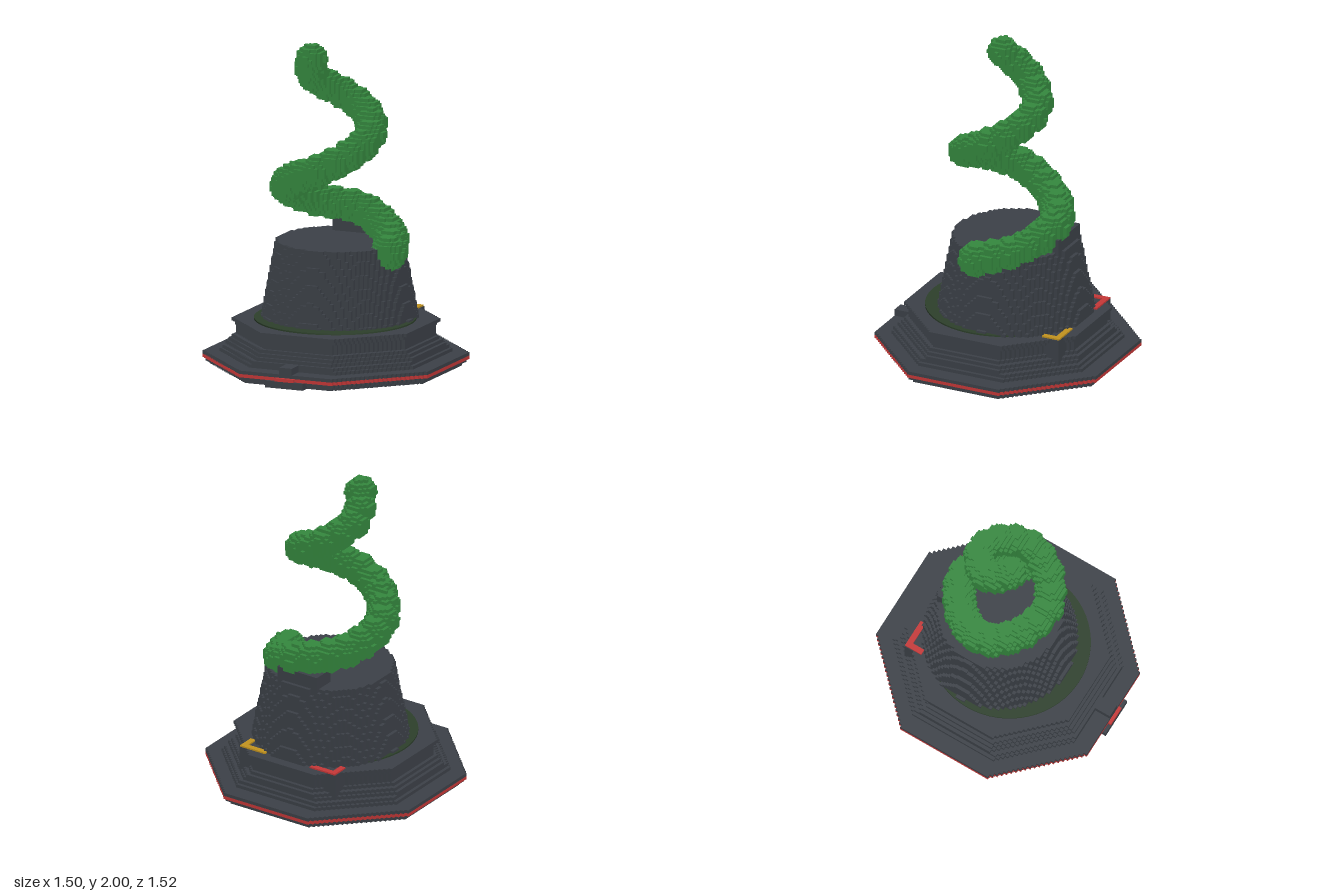
import * as THREE from 'three';

const V = 2 / 96; // voxel edge
const HALF = 38, SIZE = HALF * 2, HEIGHT = 97;

const mat = (name, color) => {
  const m = new THREE.MeshStandardMaterial({ color });
  m.name = name;
  return m;
};

// Shape rules, tested at voxel centres
const box = (x0, x1, y0, y1, z0, z1) => (x, y, z) =>
  x > x0 && x < x1 && y > y0 && y < y1 && z > z0 && z < z1;
const octagon = (x, z, a) => {
  const ax = Math.abs(x), az = Math.abs(z + 0.02);
  return ax < a && az < a && ax + az < a * Math.SQRT2;
};

// Apothem of the octagonal base, one value per voxel layer
const baseProfile = [0.705, 0.728, 0.743, 0.743, 0.655, 0.635, 0.615, 0.595,
  0.575, 0.556, 0.556, 0.556, 0.572, 0.588];

// Beads along a narrowing helix
function vineBeads() {
  const path = new THREE.CatmullRomCurve3([
    [0.37, 0.735, 0.01], [0.27, 0.79, -0.22], [0.03, 0.905, -0.355], [-0.21, 0.97, -0.22],
    [-0.305, 1.075, 0.0], [-0.19, 1.18, 0.19], [0.02, 1.27, 0.255], [0.18, 1.36, 0.15],
    [0.235, 1.45, 0.0], [0.16, 1.54, -0.15], [0.0, 1.63, -0.215], [-0.13, 1.72, -0.13],
    [-0.172, 1.8, -0.03], [-0.12, 1.908, 0.07],
  ].map(p => new THREE.Vector3(...p)));
  const count = 27;
  return path.getSpacedPoints(count).map((p, i) => ({ p, r: 0.103 - 0.012 * i / count }));
}

export function createModel() {
  const group = new THREE.Group();
  const charcoal = mat('charcoal', 0x3c4148);
  const green = mat('leaf green', 0x35893f);
  const moss = mat('moss green', 0x2d402b);
  const red = mat('red', 0xc73838);
  const amber = mat('amber', 0xc4941f);

  const beads = vineBeads();
  const tongue = box(-0.042, 0.042, 0, 0.125, 0.5, 0.73);
  const tab = box(-0.127, 0.127, 0, 0.042, 0.6, 0.76);
  const tabMark = box(-0.066, 0.066, 0.042, 0.0625, 0.7, 0.75);

  // Later parts overwrite earlier ones in the shared grid
  const parts = [
    { name: 'base', material: charcoal, top: 0.292, test: (x, y, z) =>
      octagon(x, z, baseProfile[Math.floor(y / V)] ?? 0) || tongue(x, y, z) || tab(x, y, z) },
    { name: 'rearCornerPosts', material: charcoal, top: 0.292, test: (x, y, z) =>
      box(0.2, 0.35, 0.09, 0.292, -0.55, -0.4)(Math.abs(x), y, z) },
    { name: 'rimStripe', material: red, top: 0.0625, test: (x, y, z) =>
      y > 0.042 && ((octagon(x, z, 0.743) && !octagon(x, z, 0.68)) || tabMark(x, y, z)) },
    { name: 'pot', material: charcoal, top: 0.771, test: (x, y, z) =>
      y > 0.29 && Math.hypot(x, z + 0.077) < 0.472 - (y - 0.292) * 0.19 },
    { name: 'rootBlock', material: charcoal, top: 0.855, test: (x, y, z) =>
      box(-0.146, 0.146, 0.77, 0.855, -0.43, -0.29)(x, y, z) },
    { name: 'vine', material: green, top: 2, test: (x, y, z) =>
      beads.some(({ p, r }) => (x - p.x) ** 2 + (y - p.y) ** 2 + (z - p.z) ** 2 < r * r) },
  ];

  // Fill the grid
  const grid = new Uint8Array(SIZE * SIZE * HEIGHT);
  const at = (i, j, k) => (i < 0 || j < 0 || k < 0 || i >= SIZE || k >= SIZE || j >= HEIGHT)
    ? 0 : grid[(j * SIZE + k) * SIZE + i];
  parts.forEach((part, n) => {
    for (let j = 0; (j + 0.5) * V < part.top && j < HEIGHT; j++)
      for (let k = 0; k < SIZE; k++)
        for (let i = 0; i < SIZE; i++)
          if (part.test((i - HALF + 0.5) * V, (j + 0.5) * V, (k - HALF + 0.5) * V))
            grid[(j * SIZE + k) * SIZE + i] = n + 1;
  });

  // Emit the exposed faces of each part
  parts.forEach((part, n) => {
    const pos = [], nor = [], idx = [];
    for (let j = 0; j < HEIGHT; j++) for (let k = 0; k < SIZE; k++) for (let i = 0; i < SIZE; i++) {
      if (at(i, j, k) !== n + 1) continue;
      for (let d = 0; d < 3; d++) for (const s of [-1, 1]) {
        const normal = [0, 0, 0];
        normal[d] = s;
        if (at(i + normal[0], j + normal[1], k + normal[2])) continue;
        const start = pos.length / 3, u = (d + 1) % 3, w = (d + 2) % 3;
        for (const [a, b] of [[0, 0], [1, 0], [1, 1], [0, 1]]) {
          const c = [i - HALF, j, k - HALF];
          c[d] += s > 0 ? 1 : 0;
          c[u] += a;
          c[w] += b;
          pos.push(c[0] * V, c[1] * V, c[2] * V);
          nor.push(...normal);
        }
        const q = s > 0 ? [0, 1, 2, 0, 2, 3] : [0, 2, 1, 0, 3, 2];
        idx.push(...q.map(e => e + start));
      }
    }
    const geo = new THREE.BufferGeometry();
    geo.setAttribute('position', new THREE.Float32BufferAttribute(pos, 3));
    geo.setAttribute('normal', new THREE.Float32BufferAttribute(nor, 3));
    geo.setIndex(idx);
    const mesh = new THREE.Mesh(geo, part.material);
    mesh.name = part.name;
    group.add(mesh);
  });

  // Thin moss disc around the foot of the pot
  const plateTop = 14 * V;
  const disc = new THREE.Mesh(new THREE.CylinderGeometry(0.495, 0.495, 0.009, 64), moss);
  disc.position.set(0, plateTop + 0.0045, -0.01);
  disc.name = 'mossRing';
  group.add(disc);

  // L-shaped corner brackets on the rear posts
  for (const [side, material, name] of [[-1, red, 'redBracket'], [1, amber, 'amberBracket']]) {
    const bracket = new THREE.Group();
    bracket.name = name;
    for (const [w, d, x, z] of [[0.185, 0.036, 0.2575, -0.524], [0.036, 0.08, 0.332, -0.466]]) {
      const arm = new THREE.Mesh(new THREE.BoxGeometry(w, 0.0095, d), material);
      arm.position.set(side * x, plateTop + 0.0055, z);
      arm.name = 'bracketArm';
      bracket.add(arm);
    }
    group.add(bracket);
  }
  return group;
}
